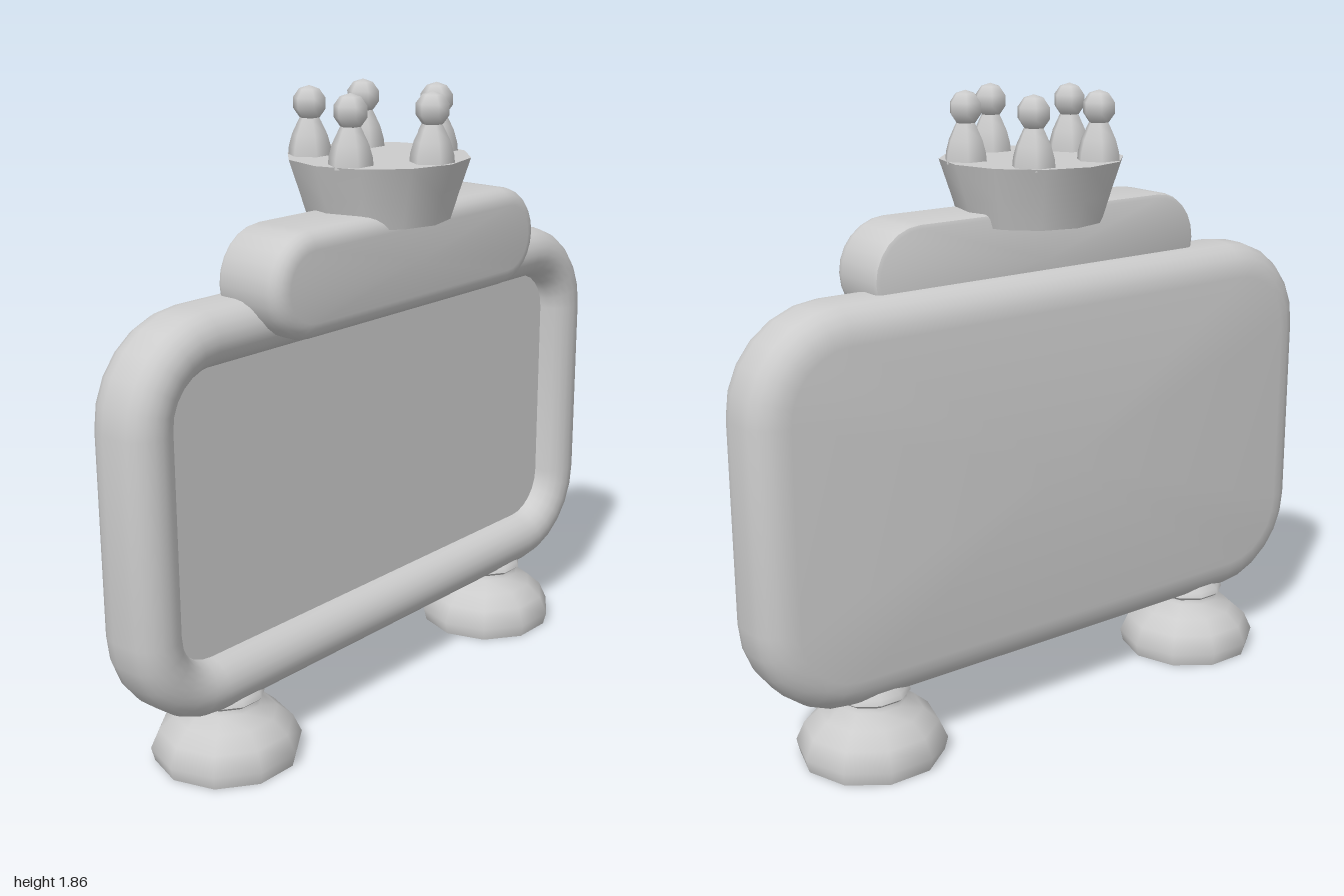
import * as THREE from 'three';
import { toCreasedNormals } from 'three/addons/utils/BufferGeometryUtils.js';

const grey = new THREE.MeshStandardMaterial({ color: 0xcccccc });
grey.name = 'light grey';

// Rounded rectangle outline, counter-clockwise seen from the front
function outline(hw, hh, r, steps = 6) {
  const pts = [];
  [[1, 1], [-1, 1], [-1, -1], [1, -1]].forEach(([sx, sy], q) => {
    for (let i = 0; i <= steps; i++) {
      const a = (q + i / steps) * Math.PI / 2;
      pts.push(new THREE.Vector2(sx * (hw - r) + r * Math.cos(a), sy * (hh - r) + r * Math.sin(a)));
    }
  });
  return pts;
}

// Loft of inset outlines; profile lists [inset, z] from back to front
function loft(hw, hh, r, profile, capFront) {
  const pos = [], index = [];
  let n = 0;
  for (const [inset, z] of profile) {
    const ring = outline(hw - inset, hh - inset, Math.max(r - inset, 0.01));
    n = ring.length;
    ring.forEach(p => pos.push(p.x, p.y, z));
  }
  const rows = profile.length, back = rows * n, front = back + 1;
  pos.push(0, 0, profile[0][1], 0, 0, profile[rows - 1][1]);
  for (let j = 0; j < n; j++) {
    const k = (j + 1) % n;
    for (let i = 0; i < rows - 1; i++) {
      const a = i * n + j, b = i * n + k;
      index.push(a, b, b + n, a, b + n, a + n);
    }
    index.push(back, k, j);
    if (capFront) index.push(front, (rows - 1) * n + j, (rows - 1) * n + k);
  }
  const g = new THREE.BufferGeometry();
  g.setAttribute('position', new THREE.Float32BufferAttribute(pos, 3));
  g.setIndex(index);
  return toCreasedNormals(g, 0.7);
}

// Elliptical quarter or half arc of [inset, z] points
function arc(cx, cz, rx, rz, from, to, steps) {
  return Array.from({ length: steps + 1 }, (_, i) => {
    const a = (from + (to - from) * i / steps) * Math.PI / 180;
    return [cx - rx * Math.cos(a), cz + rz * Math.sin(a)];
  });
}

function lathe(points, sides, start, crease) {
  const g = new THREE.LatheGeometry(points.map(p => new THREE.Vector2(...p)), sides, start);
  return crease ? toCreasedNormals(g, crease) : g;
}

export function createModel() {
  const model = new THREE.Group();
  model.name = 'signBoard';
  const add = (name, geometry, x = 0, y = 0, z = 0, parent = model) => {
    const m = new THREE.Mesh(geometry, grey);
    m.name = name;
    m.position.set(x, y, z);
    parent.add(m);
    return m;
  };

  // Board with a rounded rim and a recessed screen
  const rim = [
    ...arc(0.1, -0.067, 0.1, 0.09, -90, 0, 5),
    ...arc(0.08, -0.005, 0.08, 0.08, 0, 180, 10),
  ];
  add('frame', loft(1, 0.58, 0.29, rim, false), 0, 0.77, 0);
  add('screen', new THREE.ShapeGeometry(new THREE.Shape(outline(0.84, 0.42, 0.13))), 0, 0.77, -0.005);

  // Pill-shaped header, softly rounded at the front
  const pill = [
    ...arc(0.015, -0.055, 0.015, 0.015, -90, 0, 2),
    ...arc(0.05, 0.105, 0.05, 0.05, 0, 90, 5),
  ];
  add('header', loft(0.58, 0.15, 0.15, pill, true), 0, 1.38, 0);

  // Flared cup on top
  add('cup', lathe([[0, 1.49], [0.21, 1.49], [0.235, 1.57], [0.267, 1.667], [0, 1.667]], 12, 0, 0.7));

  // Ring of five pegs with round heads
  const body = lathe([[0.065, 0], [0.062, 0.03], [0.052, 0.065], [0.035, 0.1], [0.022, 0.125]], 6, Math.PI / 2);
  const head = new THREE.SphereGeometry(0.05, 6, 5);
  for (let i = 0; i < 5; i++) {
    const a = i * Math.PI * 2 / 5;
    const peg = new THREE.Group();
    peg.name = 'peg' + (i + 1);
    peg.position.set(0.197 * Math.sin(a), 1.66, 0.197 * Math.cos(a));
    add('pegBody', body, 0, 0, 0, peg);
    add('pegHead', head, 0, 0.153, 0, peg);
    model.add(peg);
  }

  // Two ten-sided feet, each with a collar under the board
  const foot = lathe([
    [0, 0], [0.21, 0], [0.22, 0.04], [0.195, 0.095], [0.15, 0.135], [0.105, 0.17],
    [0.1, 0.183], [0.115, 0.195], [0.11, 0.21], [0.07, 0.24], [0, 0.24],
  ], 10, Math.PI / 2, 0.95);
  for (const s of [1, -1]) add(s > 0 ? 'leftFoot' : 'rightFoot', foot, s * 0.62, 0, -0.045);

  return model;
}
